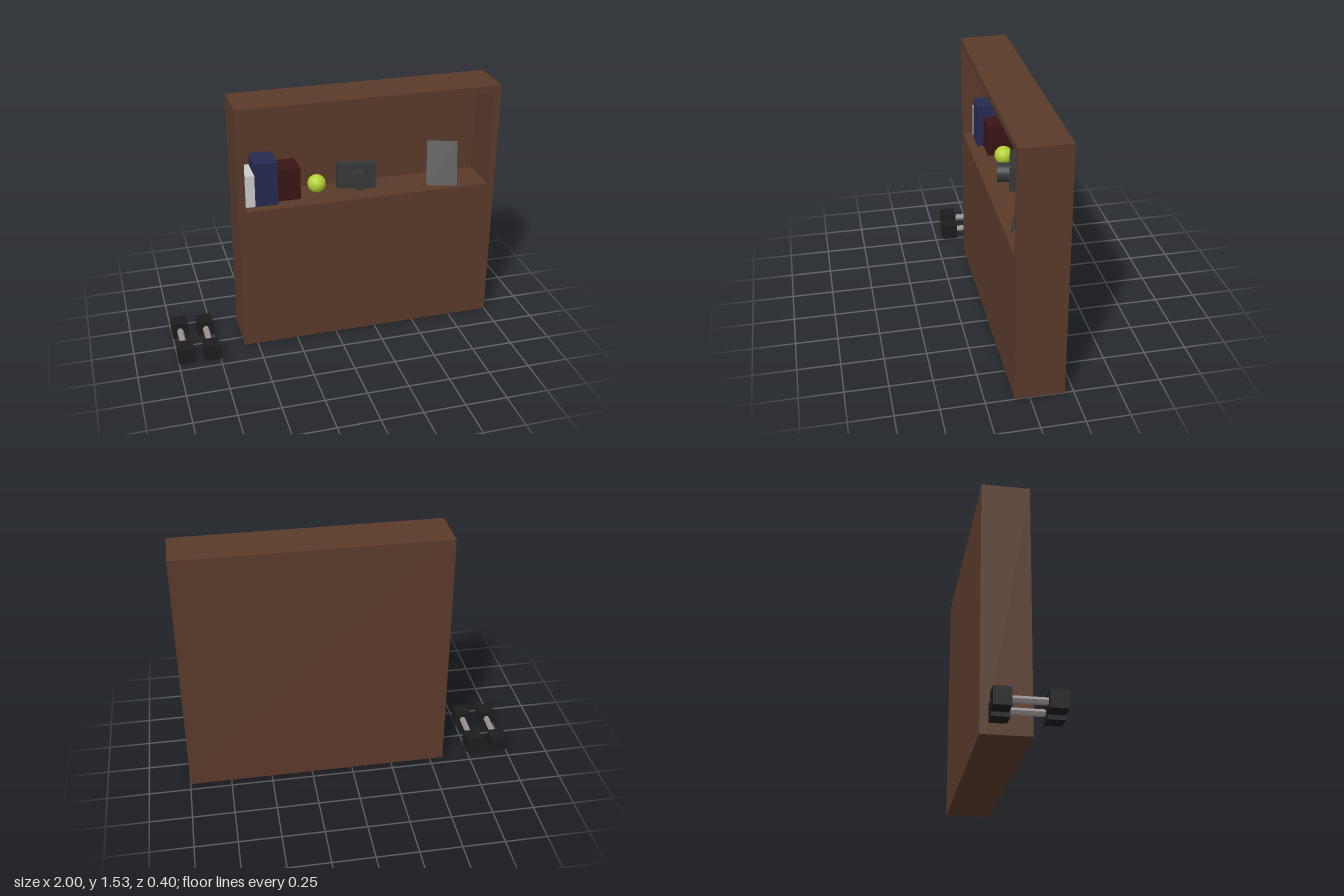
import * as THREE from 'three';

const paint = (color) => new THREE.MeshStandardMaterial({ color });

function add(parent, name, geometry, material, x = 0, y = 0, z = 0) {
  const mesh = new THREE.Mesh(geometry, material);
  mesh.name = name;
  mesh.position.set(x, y, z);
  parent.add(mesh);
  return mesh;
}

// Box given by its min and max corners
function block(parent, name, material, [x0, y0, z0], [x1, y1, z1]) {
  const geometry = new THREE.BoxGeometry(x1 - x0, y1 - y0, z1 - z0);
  return add(parent, name, geometry, material, (x0 + x1) / 2, (y0 + y1) / 2, (z0 + z1) / 2);
}

function rectangle(PathType, x0, y0, x1, y1) {
  const points = [[x0, y0], [x1, y0], [x1, y1], [x0, y1]];
  return new PathType(points.map(([x, y]) => new THREE.Vector2(x, y)));
}

export function createModel() {
  const model = new THREE.Group();
  model.name = 'shelfWallWithDumbbells';

  // Cabinet: a solid wall with one long niche near the top
  const wood = paint(0x5a3a2a);
  const front = 0.085, nicheBack = -0.17, back = -0.2, shelf = 0.903;
  const outline = rectangle(THREE.Shape, -0.583, 0, 1, 1.53);
  outline.holes.push(rectangle(THREE.Path, -0.54, shelf, 0.955, 1.49));
  const frame = new THREE.ExtrudeGeometry(outline, { depth: front - nicheBack, bevelEnabled: false });
  add(model, 'cabinetFrame', frame, wood, 0, 0, nicheBack);
  block(model, 'cabinetBack', wood, [-0.583, 0, back], [1, 1.53, nicheBack]);

  // Books
  block(model, 'paleBook', paint(0xcccccc), [-0.525, shelf, -0.15], [-0.472, 1.1, 0.026]);
  block(model, 'blueBook', paint(0x262a52), [-0.47, shelf, -0.147], [-0.335, 1.17, 0.029]);
  block(model, 'redBook', paint(0x3a1414), [-0.328, shelf, -0.168], [-0.192, 1.1, -0.008]);

  // Ball
  add(model, 'ball', new THREE.SphereGeometry(0.055, 24, 16), paint(0xb4d030), -0.077, shelf + 0.055, -0.08);

  // Camera, turned slightly to its right
  const darkGrey = paint(0x343638);
  const camera = new THREE.Group();
  camera.name = 'camera';
  camera.position.set(0.1725, shelf + 0.076, -0.095);
  camera.rotation.y = -0.23;
  add(camera, 'cameraBody', new THREE.BoxGeometry(0.236, 0.152, 0.066), darkGrey);
  const lens = new THREE.CylinderGeometry(0.056, 0.056, 0.07, 32).rotateX(Math.PI / 2);
  add(camera, 'cameraLens', lens, darkGrey, 0.021, -0.003, 0.068);
  model.add(camera);

  // Thin picture panel leaning back
  const panelMaterial = paint(0x3a3a3a);
  panelMaterial.side = THREE.DoubleSide;
  const panel = add(model, 'leaningPanel', new THREE.PlaneGeometry(0.184, 0.272), panelMaterial, 0.695, 1.024, -0.02);
  panel.rotation.set(-0.49, -0.31, 0, 'YXZ');

  // Pair of dumbbells: two cubes joined by a hexagonal bar
  const rubber = paint(0x1c1c1c);
  const steel = paint(0x9a9090);
  const headGeometry = new THREE.BoxGeometry(0.095, 0.098, 0.095);
  const barGeometry = new THREE.CylinderGeometry(0.02, 0.02, 0.2, 6).toNonIndexed();
  barGeometry.rotateX(Math.PI / 2).rotateZ(Math.PI / 2);
  barGeometry.computeVertexNormals();
  for (const [x, z] of [[-0.952, -0.005], [-0.795, 0.011]]) {
    const dumbbell = new THREE.Group();
    dumbbell.name = 'dumbbell';
    dumbbell.position.set(x, 0.05, z);
    add(dumbbell, 'dumbbellBar', barGeometry, steel);
    for (const side of [-1, 1]) add(dumbbell, 'dumbbellHead', headGeometry, rubber, 0, 0, side * 0.14);
    model.add(dumbbell);
  }

  return model;
}
